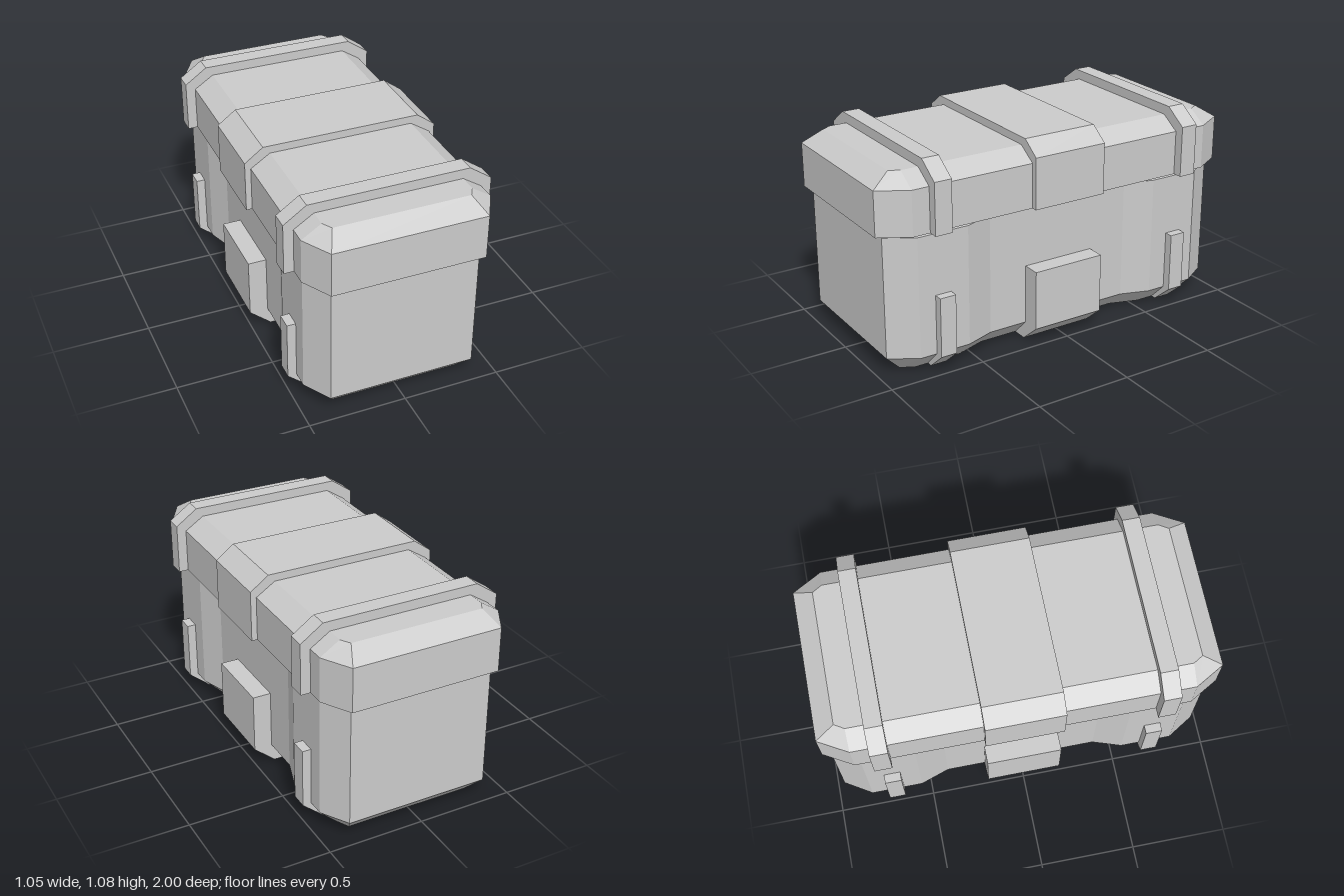
import * as THREE from 'three';

const material = new THREE.MeshStandardMaterial({ color: 0xcccccc, flatShading: true });

// Mirror the +x half of a footprint (listed front to back) into a full ring
const ring = (half) => [...half, ...half.map(([x, z]) => [-x, z]).reverse()];

// Closed faceted solid through levels of { y, half }
function loft(levels) {
  const rings = levels.map(({ y, half }) => ring(half).map(([x, z]) => [x, y, z]));
  const pos = [];
  const tri = (a, b, c) => pos.push(...a, ...b, ...c);
  for (let k = 0; k < rings.length - 1; k++) {
    const lo = rings[k], hi = rings[k + 1], n = lo.length;
    for (let i = 0; i < n; i++) {
      const j = (i + 1) % n;
      tri(lo[i], lo[j], hi[j]);
      tri(lo[i], hi[j], hi[i]);
    }
  }
  const cap = (r, up) => {
    const flat = r.map(([x, , z]) => new THREE.Vector2(x, -z));
    for (const [a, b, c] of THREE.ShapeUtils.triangulateShape(flat, [])) {
      if (up) tri(r[a], r[b], r[c]);
      else tri(r[a], r[c], r[b]);
    }
  };
  cap(rings[0], false);
  cap(rings[rings.length - 1], true);
  const geo = new THREE.BufferGeometry();
  geo.setAttribute('position', new THREE.Float32BufferAttribute(pos, 3));
  geo.computeVertexNormals();
  return geo;
}

// Slab with an x-y outline, centred at z
function slab(points, depth, z) {
  const shape = new THREE.Shape(points.map(([x, y]) => new THREE.Vector2(x, y)));
  const geo = new THREE.ExtrudeGeometry(shape, { depth, bevelEnabled: false });
  geo.translate(0, 0, z - depth / 2);
  return geo;
}

// Arch outline with chamfered shoulders, used for the lid straps
const arch = (w, shoulderW, shoulderY, top) => [
  [-w, 0.735], [w, 0.735], [w, shoulderY], [shoulderW, top], [-shoulderW, top], [-w, shoulderY],
];

// Half footprint of the tub: chamfered corners and a shallow recess along the side
const tubHalf = (cornerX, endZ, sideX, cornerZ) => [
  [cornerX, endZ], [sideX, cornerZ], [sideX, 0.55], [sideX - 0.05, 0.4],
  [sideX - 0.05, -0.4], [sideX, -0.55], [sideX, -cornerZ], [cornerX, -endZ],
];

const lidHalf = (cornerX, endZ, sideX, cornerZ) => [
  [cornerX, endZ], [sideX, cornerZ], [sideX, -cornerZ], [cornerX, -endZ],
];

export function createModel() {
  const model = new THREE.Group();
  model.name = 'crate';
  const add = (name, geo) => {
    const mesh = new THREE.Mesh(geo, material);
    mesh.name = name;
    model.add(mesh);
  };

  // Tub with a bevelled base
  const wall = tubHalf(0.375, 0.96, 0.46, 0.82);
  add('tub', loft([
    { y: 0, half: tubHalf(0.33, 0.87, 0.365, 0.8) },
    { y: 0.095, half: wall },
    { y: 0.72, half: wall },
  ]));

  // Lid with a bevelled top, floating just above the tub
  const rim = lidHalf(0.39, 1.0, 0.475, 0.85);
  add('lid', loft([
    { y: 0.735, half: rim },
    { y: 0.965, half: rim },
    { y: 1.03, half: lidHalf(0.345, 0.9, 0.375, 0.85) },
  ]));

  // Bands over the lid
  add('centreBand', slab(arch(0.505, 0.41, 1.0, 1.07), 0.4, 0));
  for (const s of [1, -1]) {
    add(s > 0 ? 'frontStrap' : 'backStrap', slab(arch(0.525, 0.41, 1.0, 1.08), 0.09, s * 0.715));
  }

  // Side blocks and narrow ribs on the tub
  for (const s of [1, -1]) {
    const side = s > 0 ? 'left' : 'right';
    const outline = [[0.25, 0], [0.395, 0], [0.505, 0.095], [0.505, 0.405], [0.25, 0.405]]
      .map(([x, y]) => [s * x, y]);
    add(side + 'Block', slab(outline, 0.39, 0));
    add(side + 'FrontRib', slab(outline, 0.085, 0.69));
    add(side + 'BackRib', slab(outline, 0.085, -0.69));
  }
  return model;
}
